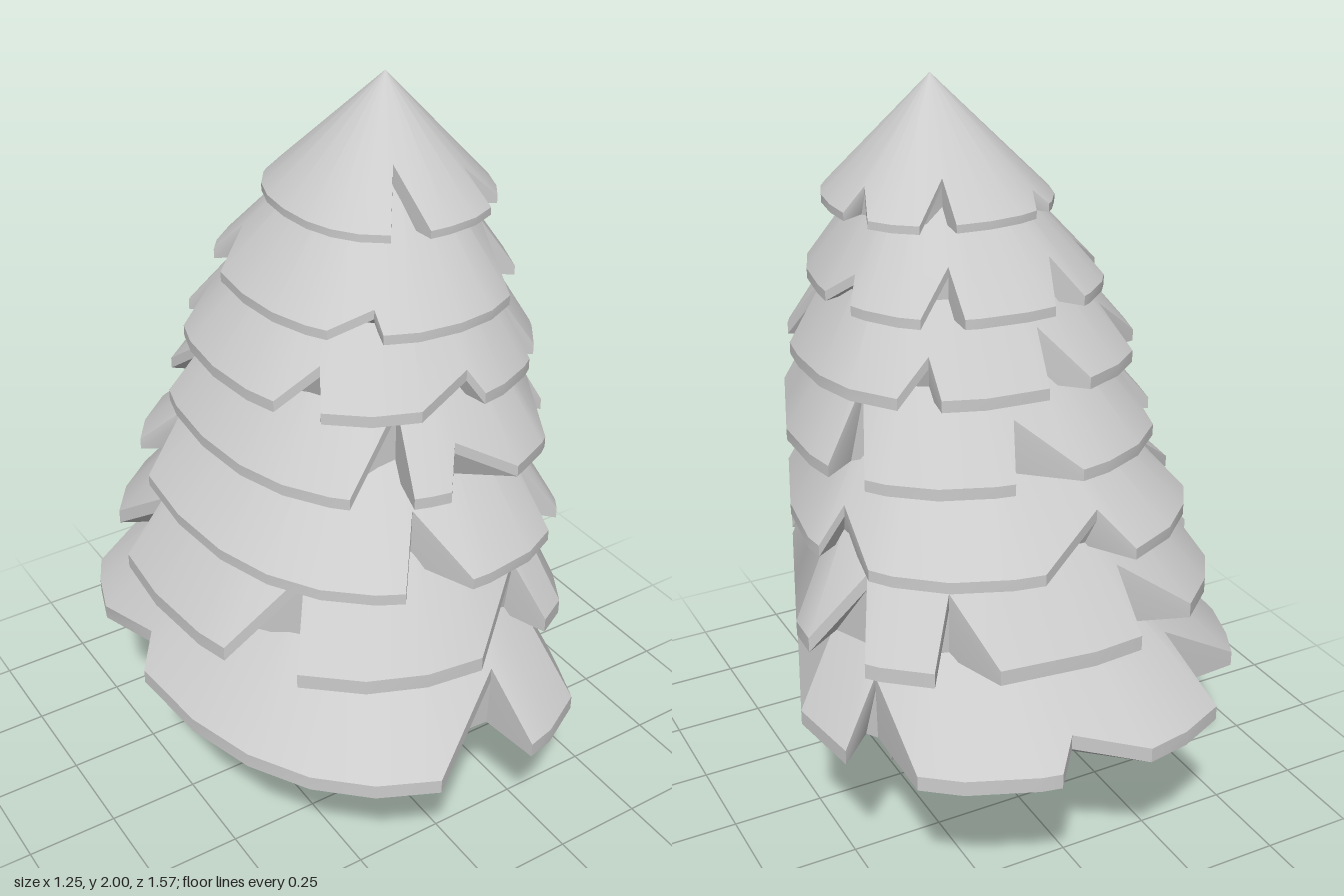
import * as THREE from 'three';
import { toCreasedNormals } from 'three/addons/utils/BufferGeometryUtils.js';

const APEX_X = 0.13;
const TRUNK_SIDES = 32;
const material = new THREE.MeshStandardMaterial({ color: 0xcccccc, side: THREE.DoubleSide });

// Rounded power curve, slightly squarer than an oval
const swell = v => Math.sign(v) * Math.abs(v) ** 0.88;

// Oval outline with saw-tooth notches, fuller at the back left and trimmed along the front left.
// Each notch is its deepest angle, the signed width of its long side (degrees) and its depth.
function notchedOutline({ cx, rx, rz, notches }) {
  const spans = notches.map(([a, w, d]) => ({ a, d, from: a - Math.sign(w) * 4, to: a + w }));
  const marks = spans.flatMap(s => [[s.from, 0], [s.a, s.d], [s.to, 0]]);
  for (let a = -180; a < 180; a += 15) {
    const free = spans.every(s => a < Math.min(s.from, s.to) - 3 || a > Math.max(s.from, s.to) + 3);
    if (free) marks.push([a, 0]);
  }
  marks.sort((p, q) => p[0] - q[0]);
  return marks.map(([deg, d]) => {
    const a = THREE.MathUtils.degToRad(deg);
    const z = rz * swell(Math.sin(a));
    const side = rx * swell(Math.cos(a));
    const x = cx + (side > 0 ? side * (1 - 0.25 * z) : side);
    return { x: Math.min(x, 0.54 - 0.37 * z), z, d };
  });
}

// Cone over an outline, with a lip round the rim and a flat underside set in behind the notches
function skirtGeometry(tier) {
  const { y, lip, h } = tier;
  const outline = notchedOutline(tier);
  const pos = [];
  const toward = (p, d, py) => [THREE.MathUtils.lerp(p.x, APEX_X, d), py, p.z * (1 - d)];
  const rim = (p, drop) => toward(p, p.d, y + lip + p.d * h - drop);
  const inset = p => toward(p, Math.max(0.2, p.d + 0.01), y + 0.005);
  const apex = [APEX_X, y + lip + h, 0];
  const under = [APEX_X, y + 0.01, 0];
  outline.forEach((p, i) => {
    const q = outline[(i + 1) % outline.length];
    const a = rim(p, 0), b = rim(q, 0), c = rim(q, lip), d = rim(p, lip);
    const e = inset(p), f = inset(q);
    pos.push(...apex, ...b, ...a, ...a, ...b, ...c, ...a, ...c, ...d);
    pos.push(...d, ...c, ...f, ...d, ...f, ...e, ...under, ...e, ...f);
  });
  return creased(pos, 0.45);
}

function creased(pos, angle) {
  const g = new THREE.BufferGeometry();
  g.setAttribute('position', new THREE.Float32BufferAttribute(pos, 3));
  return toCreasedNormals(g, angle);
}

// Knobbly trunk, splitting into ragged root spikes underneath
function trunkGeometry() {
  const rows = 6;
  const pos = [];
  const point = (row, i) => {
    const k = i % TRUNK_SIDES;
    const a = (k / TRUNK_SIDES) * Math.PI * 2 + 0.1 * Math.sin(row * 1.3);
    const lobe = 1 + 0.05 * Math.sin(5 * a + 1) + 0.035 * Math.sin(9 * a + row * 0.4);
    const spike = k === 10 ? 0 : 0.055 + 0.03 * Math.sin(k * 2.3);
    const tip = k % 2 ? 0.13 : spike;
    const y = row < rows ? 0.55 - row * 0.08 : tip;
    const r = (0.155 + 0.035 * Math.sin(Math.PI * row / rows)) * lobe;
    return [0.125 + r * 0.96 * Math.cos(a), y, -0.02 + r * 1.06 * Math.sin(a)];
  };
  for (let i = 0; i < TRUNK_SIDES; i++) {
    for (let row = 0; row < rows; row++) {
      const a = point(row, i), b = point(row, i + 1), c = point(row + 1, i + 1), d = point(row + 1, i);
      pos.push(...a, ...b, ...c, ...a, ...c, ...d);
    }
    // Hollow between the spikes
    pos.push(0.125, 0.15, -0.02, ...point(rows, i), ...point(rows, i + 1));
  }
  return creased(pos, 0.35);
}

export function createModel() {
  const group = new THREE.Group();
  group.name = 'pineTree';
  const add = (name, geometry) => {
    const mesh = new THREE.Mesh(geometry, material);
    mesh.name = name;
    group.add(mesh);
  };
  add('trunk', trunkGeometry());

  // Skirts from the ground up
  add('lowestSkirt', skirtGeometry({ y: 0.44, lip: 0.04, h: 0.75, cx: 0, rx: 0.62, rz: 0.79,
    notches: [[-176, 16, 0.08], [-122, -20, 0.2], [-83, -12, 0.08], [-36, -14, 0.2], [34, -12, 0.16], [87, 18, 0.2]] }));
  add('secondSkirt', skirtGeometry({ y: 0.68, lip: 0.04, h: 0.84, cx: 0.025, rx: 0.595, rz: 0.67,
    notches: [[-162, 15, 0.16], [-105, -16, 0.17], [-62, -10, 0.18], [-37, 14, 0.2], [22, 6, 0.18], [74, 18, 0.17], [141, 16, 0.22]] }));
  add('thirdSkirt', skirtGeometry({ y: 0.91, lip: 0.03, h: 0.62, cx: 0.035, rx: 0.525, rz: 0.63,
    notches: [[-150, -14, 0.18], [-100, 18, 0.14], [-24, -14, 0.15], [25, 14, 0.16], [58, -8, 0.25], [108, -14, 0.22]] }));
  add('middleSkirt', skirtGeometry({ y: 1.12, lip: 0.03, h: 0.66, cx: 0.065, rx: 0.475, rz: 0.55,
    notches: [[-152, 16, 0.18], [-84, -12, 0.18], [-28, -10, 0.27], [36, 20, 0.12], [95, -18, 0.13], [114, 15, 0.26]] }));
  add('fifthSkirt', skirtGeometry({ y: 1.31, lip: 0.03, h: 0.60, cx: 0.065, rx: 0.435, rz: 0.47,
    notches: [[-138, -16, 0.18], [-95, -10, 0.2], [-58, 10, 0.14], [13, 13, 0.27], [50, -7, 0.22], [88, 16, 0.09], [141, 13, 0.14]] }));
  add('sixthSkirt', skirtGeometry({ y: 1.49, lip: 0.025, h: 0.45, cx: 0.08, rx: 0.36, rz: 0.41,
    notches: [[-148, -16, 0.18], [-112, 12, 0.2], [-66, 12, 0.22], [-19, 13, 0.13], [36, 23, 0.28], [123, 18, 0.1]] }));
  add('topSkirt', skirtGeometry({ y: 1.69, lip: 0.02, h: 0.29, cx: 0.12, rx: 0.28, rz: 0.30,
    notches: [[-126, 10, 0.12], [-72, 13, 0.3], [-17, -14, 0.2], [55, -12, 0.28], [115, -16, 0.42]] }));
  return group;
}
